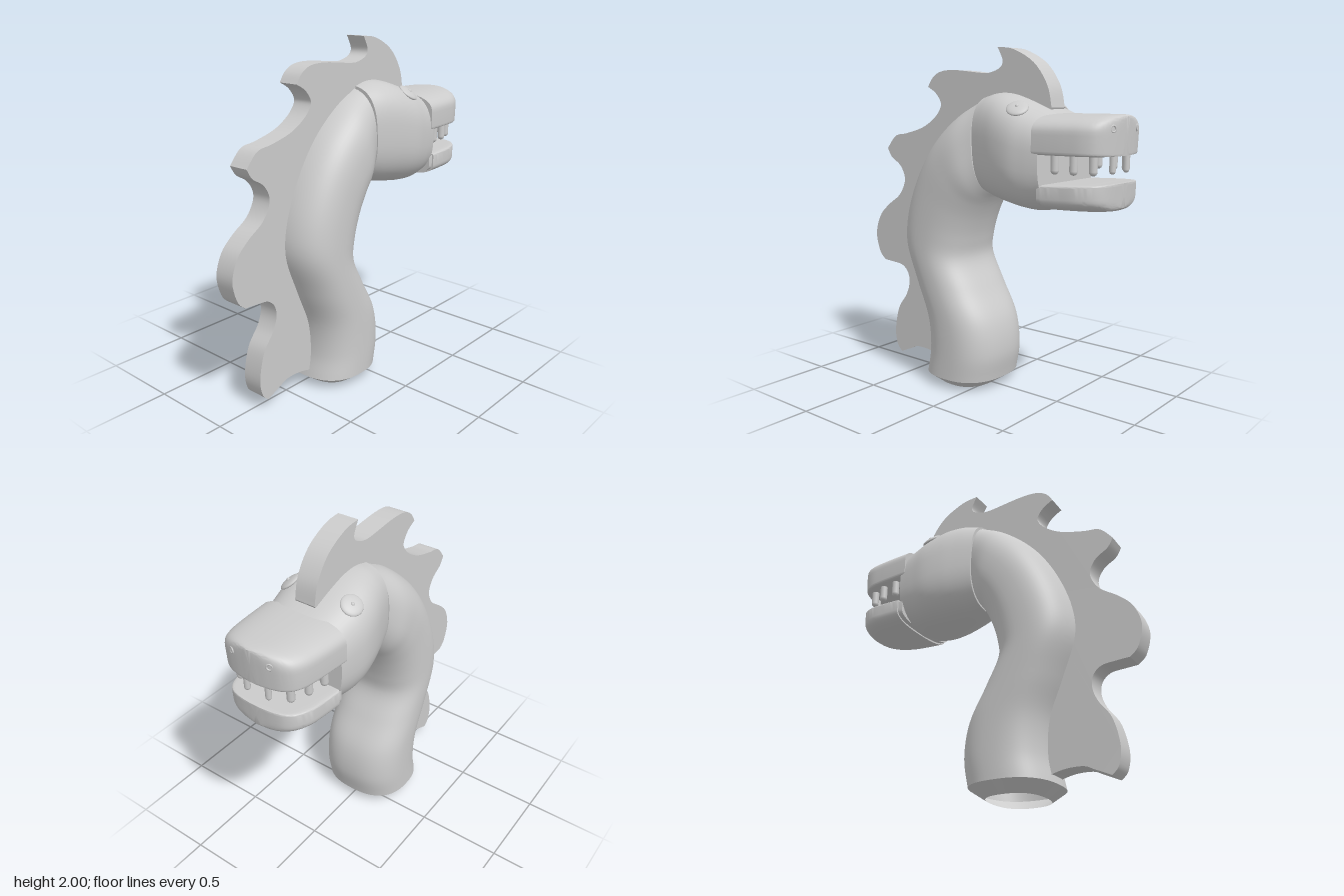
import * as THREE from 'three';
import { toCreasedNormals } from 'three/addons/utils/BufferGeometryUtils.js';

const material = new THREE.MeshStandardMaterial({ color: 0xcccccc });
const shell = new THREE.MeshStandardMaterial({ color: 0xcccccc, side: THREE.DoubleSide });

function add(parent, name, geometry, mat = material) {
  const mesh = new THREE.Mesh(geometry, mat);
  mesh.name = name;
  parent.add(mesh);
  return mesh;
}

// Superellipse rings, each [z, y of one edge, z, y of the opposite edge, half width],
// joined by a smooth surface. nUp and nLow set how boxy each half of the section is.
function loft(rings, { steps = 6, sides = 56, nUp = 2.5, nLow = nUp, capStart = true, capEnd = true, crease = 0.6 } = {}) {
  const curve = (f) => new THREE.CatmullRomCurve3(rings.map(f));
  const upper = curve((r) => new THREE.Vector3(r[4], r[1], r[0]));
  const lower = curve((r) => new THREE.Vector3(r[4], r[3], r[2]));
  const count = (rings.length - 1) * steps;
  const pos = [], index = [], centers = [];
  const power = (v, n) => Math.sign(v) * Math.abs(v) ** (2 / n);
  for (let i = 0; i <= count; i++) {
    const p = upper.getPoint(i / count), q = lower.getPoint(i / count);
    const c = p.clone().add(q).multiplyScalar(0.5);
    centers.push(c);
    for (let j = 0; j < sides; j++) {
      const t = (j / sides) * Math.PI * 2, n = Math.sin(t) >= 0 ? nUp : nLow;
      const u = power(Math.cos(t), n), v = power(Math.sin(t), n);
      pos.push(u * p.x, c.y + v * (p.y - c.y), c.z + v * (p.z - c.z));
    }
  }
  for (let i = 0; i < count; i++) {
    for (let j = 0; j < sides; j++) {
      const a = i * sides + j, b = i * sides + (j + 1) % sides;
      index.push(a, a + sides, b, b, a + sides, b + sides);
    }
  }
  const cap = (i, flip) => {
    const c = pos.length / 3;
    pos.push(0, centers[i].y, centers[i].z);
    for (let j = 0; j < sides; j++) {
      const a = i * sides + j, b = i * sides + (j + 1) % sides;
      index.push(c, flip ? b : a, flip ? a : b);
    }
  };
  if (capStart) cap(0, false);
  if (capEnd) cap(count, true);
  const g = new THREE.BufferGeometry();
  g.setAttribute('position', new THREE.Float32BufferAttribute(pos, 3));
  g.setIndex(index);
  return toCreasedNormals(g, crease);
}

// Scalloped crest: one spline per scallop, meeting at sharp tips
function maneGeometry() {
  const scallops = [
    [[0.45, 0.12], [0.55, 0.12], [0.61, 0.095], [0.7, 0.055]],
    [[0.74, 0.1], [0.755, 0.2], [0.72, 0.35], [0.65, 0.45], [0.62, 0.53], [0.63, 0.6], [0.68, 0.645], [0.76, 0.655], [0.84, 0.66]],
    [[0.89, 0.71], [0.92, 0.83], [0.88, 0.95], [0.8, 1.03], [0.7, 1.1], [0.65, 1.18], [0.65, 1.24], [0.69, 1.3], [0.76, 1.345], [0.795, 1.4]],
    [[0.72, 1.48], [0.62, 1.5], [0.48, 1.54], [0.38, 1.6], [0.33, 1.66], [0.33, 1.7], [0.37, 1.75], [0.43, 1.785]],
    [[0.39, 1.84], [0.32, 1.875], [0.2, 1.88], [0, 1.86], [-0.07, 1.865], [-0.13, 1.89], [-0.145, 1.93], [-0.11, 2]],
    [[-0.22, 1.985], [-0.36, 1.91], [-0.45, 1.79], [-0.48, 1.67]],
  ];
  const shape = new THREE.Shape().moveTo(0.3, 0.1).lineTo(0.36, 0.1);
  for (const s of scallops) shape.splineThru(s.map(([z, y]) => new THREE.Vector2(z, y)));
  // hidden inner edge, buried in the head and neck
  const inner = [[-0.46, 1.63], [-0.3, 1.67], [0, 1.62], [0.2, 1.45], [0.4, 1.15], [0.43, 0.88], [0.35, 0.62], [0.27, 0.4], [0.27, 0.2]];
  for (const [z, y] of inner) shape.lineTo(z, y);
  const g = new THREE.ExtrudeGeometry(shape, { depth: 0.126, bevelEnabled: false, curveSegments: 4 });
  return toCreasedNormals(g.translate(0, 0, -0.063).rotateY(-Math.PI / 2), 0.6);
}

export function createModel() {
  const model = new THREE.Group();
  model.name = 'seaSerpent';

  // S-curved hollow neck with a chamfered open base
  add(model, 'neck', loft([
    [0.38, 0.06, -0.11, 0.06, 0.27], [0.355, 0.2, -0.135, 0.22, 0.27],
    [0.37, 0.4, -0.105, 0.41, 0.27], [0.455, 0.62, 0, 0.6, 0.27],
    [0.54, 0.86, 0.085, 0.77, 0.27], [0.53, 1.03, 0.075, 0.88, 0.27],
    [0.44, 1.27, 0.04, 1, 0.27], [0.3, 1.48, 0, 1.09, 0.27],
    [0.13, 1.63, -0.03, 1.14, 0.26], [-0.03, 1.72, -0.06, 1.18, 0.22],
  ], { capStart: false }), shell);
  add(model, 'neckBaseRim', loft([
    [0.3, 0, -0.02, 0, 0.19], [0.38, 0.06, -0.11, 0.06, 0.27],
  ], { steps: 1, capStart: false, capEnd: false }), shell);

  add(model, 'mane', maneGeometry());

  const head = new THREE.Group();
  head.name = 'head';
  model.add(head);

  // Skull, widest at the eyes
  add(head, 'skull', loft([
    [-0.04, 1.73, -0.065, 1.175, 0.22], [-0.13, 1.75, -0.15, 1.15, 0.25],
    [-0.23, 1.745, -0.25, 1.13, 0.28], [-0.35, 1.71, -0.35, 1.115, 0.295],
    [-0.44, 1.675, -0.44, 1.11, 0.285], [-0.53, 1.64, -0.54, 1.13, 0.268],
  ], { nUp: 2.8, nLow: 2.6 }));

  // Upper muzzle: domed above, flat below
  add(head, 'snout', loft([
    [-0.5, 1.64, -0.5, 1.43, 0.275], [-0.6, 1.64, -0.6, 1.43, 0.268],
    [-0.7, 1.64, -0.7, 1.43, 0.258], [-0.79, 1.64, -0.785, 1.43, 0.243],
    [-0.85, 1.64, -0.84, 1.43, 0.215], [-0.883, 1.638, -0.873, 1.43, 0.17],
    [-0.902, 1.635, -0.892, 1.43, 0.1], [-0.91, 1.63, -0.9, 1.43, 0.03],
  ], { nUp: 2.6, nLow: 20 }));

  // Lower jaw: flat above, rounded below
  add(head, 'lowerJaw', loft([
    [-0.55, 1.275, -0.55, 1.13, 0.262], [-0.65, 1.28, -0.65, 1.132, 0.257],
    [-0.76, 1.285, -0.76, 1.136, 0.245], [-0.84, 1.288, -0.835, 1.141, 0.21],
    [-0.875, 1.29, -0.87, 1.146, 0.165], [-0.893, 1.29, -0.885, 1.155, 0.1],
    [-0.9, 1.29, -0.892, 1.16, 0.03],
  ], { nUp: 20, nLow: 2.5 }));
  add(head, 'jawHinge', loft([
    [-0.52, 1.27, -0.52, 1.14, 0.252], [-0.56, 1.27, -0.56, 1.14, 0.252],
  ], { steps: 1, nUp: 20, nLow: 2.5 }));

  for (const [side, s] of [['left', 1], ['right', -1]]) {
    // Row of blunt teeth under the upper lip
    [[0.215, -0.61], [0.2, -0.715], [0.165, -0.81], [0.07, -0.865]].forEach(([x, z], i) => {
      const tooth = add(head, `${side}Tooth${i + 1}`, new THREE.CapsuleGeometry(i === 3 ? 0.017 : 0.022, 0.1, 4, 14));
      tooth.position.set(s * x, 1.403, z);
    });

    // Shallow button eye with a small pupil
    const eye = new THREE.Group();
    eye.name = `${side}Eye`;
    eye.position.set(s * 0.2, 1.667, -0.355);
    eye.quaternion.setFromUnitVectors(new THREE.Vector3(0, 1, 0), new THREE.Vector3(s * 0.55, 0.8, -0.24).normalize());
    add(eye, 'eyeball', new THREE.SphereGeometry(0.062, 28, 14)).scale.y = 0.28;
    add(eye, 'pupil', new THREE.SphereGeometry(0.011, 12, 8)).position.y = 0.014;
    head.add(eye);

    // Nostril ring on the front of the muzzle
    const nostril = add(head, `${side}Nostril`, new THREE.TorusGeometry(0.016, 0.005, 8, 20));
    nostril.position.set(s * 0.12, 1.57, -0.893);
    nostril.rotation.y = -s * 0.4;
  }
  return model;
}
